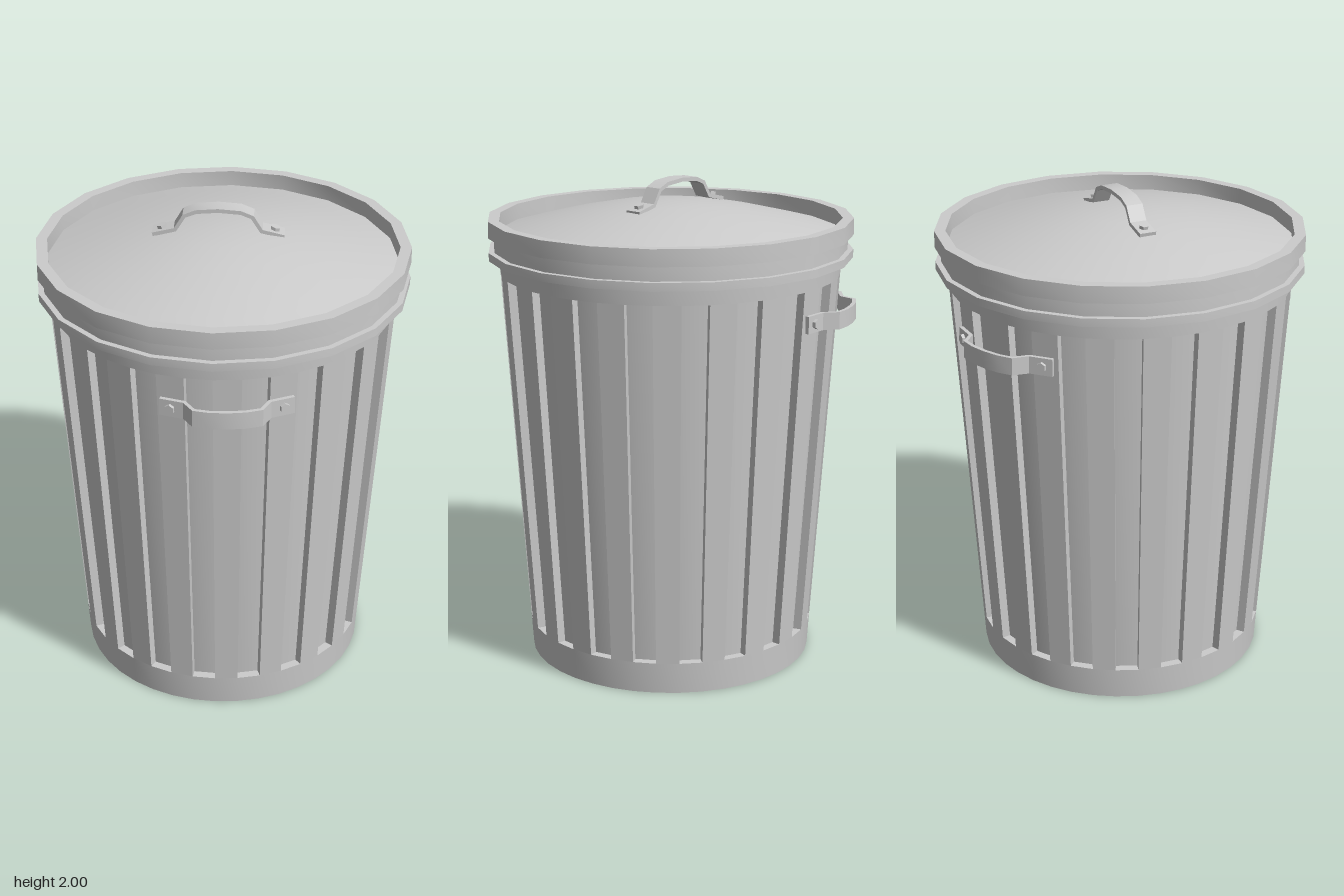
import * as THREE from 'three';
import { toCreasedNormals } from 'three/addons/utils/BufferGeometryUtils.js';

const material = new THREE.MeshStandardMaterial({ color: 0xcccccc });
const rad = THREE.MathUtils.degToRad;
const STAVES = 20, LOW = 0.13, HIGH = 1.62, DEPTH = 0.035;
const wallRadius = (y) => 0.59 + 0.0645 * y;

function mesh(name, geometry) {
  const m = new THREE.Mesh(geometry, material);
  m.name = name;
  return m;
}

function lathe(name, profile, segments) {
  const points = profile.map(([r, y]) => new THREE.Vector2(r, y));
  return mesh(name, toCreasedNormals(new THREE.LatheGeometry(points, segments), 0.5));
}

// Raised stave: a box bent onto the tapered wall, 9 degrees wide
function stave(index) {
  const geometry = new THREE.BoxGeometry(1, 1, 1);
  const p = geometry.attributes.position;
  for (let i = 0; i < p.count; i++) {
    const y = p.getY(i) > 0 ? HIGH : LOW;
    const r = wallRadius(y) - (p.getZ(i) > 0 ? 0 : DEPTH + 0.005);
    const angle = rad(index * 18 + (p.getX(i) > 0 ? 9 : 0));
    p.setXYZ(i, r * Math.sin(angle), y, r * Math.cos(angle));
  }
  geometry.computeVertexNormals();
  return mesh('stave', geometry);
}

// Bent metal strap with two hex bolts; half is its outer line from middle to end
function handle(name, half, width) {
  const thickness = 0.016;
  const left = half.slice(1).reverse().map(([x, y]) => [-x, y]);
  const line = [...left, ...half].map(([x, y]) => new THREE.Vector2(x, y));
  const inner = line.map((pt, i) => {
    const a = line[Math.max(i - 1, 0)], b = line[Math.min(i + 1, line.length - 1)];
    const d = b.clone().sub(a).normalize();
    return new THREE.Vector2(pt.x + d.y * thickness, pt.y - d.x * thickness);
  });
  const shape = new THREE.Shape([...line, ...inner.reverse()]);
  const geometry = new THREE.ExtrudeGeometry(shape, { depth: width, bevelEnabled: false });
  geometry.translate(0, 0, -width / 2);

  const group = new THREE.Group();
  group.name = name;
  group.add(mesh('strap', toCreasedNormals(geometry, 0.5)));

  // Bolts sit on the middle of each end plate
  const [a, b] = half.slice(-2);
  const slope = Math.atan2(b[1] - a[1], b[0] - a[0]);
  for (const side of [-1, 1]) {
    const bolt = mesh('bolt', new THREE.CylinderGeometry(0.02, 0.02, 0.026, 6).toNonIndexed());
    bolt.geometry.computeVertexNormals();
    bolt.position.set(side * (a[0] * 0.45 + b[0] * 0.55), a[1] * 0.45 + b[1] * 0.55, 0);
    bolt.rotation.z = side * slope;
    group.add(bolt);
  }
  return group;
}

export function createModel() {
  const model = new THREE.Group();

  // Body with hollow foot and recessed wall between two plain bands
  model.add(lathe('body', [
    [0, 0.14], [0.5, 0.14], [0.5, 0], [wallRadius(0), 0], [wallRadius(LOW), LOW],
    [wallRadius(LOW) - DEPTH, LOW], [wallRadius(HIGH) - DEPTH, HIGH],
    [wallRadius(HIGH), HIGH], [wallRadius(1.7), 1.7],
  ], 40));

  const staves = new THREE.Group();
  staves.name = 'staves';
  for (let i = 0; i < STAVES; i++) staves.add(stave(i));
  model.add(staves);

  // Rolled rim at the top of the body
  model.add(lathe('bodyRim', [
    [0.67, 1.685], [0.745, 1.685], [0.745, 1.718], [0.7, 1.718],
  ], 20));

  // Domed lid inside a raised collar
  model.add(lathe('lid', [
    [0.722, 1.71], [0.722, 1.777], [0.745, 1.777], [0.745, 1.845], [0.7, 1.845],
    [0.7, 1.78], [0.58, 1.812], [0.46, 1.842], [0.3, 1.876], [0.15, 1.898], [0, 1.905],
  ], 20));

  // Lid handle
  const lidHandle = handle('lidHandle',
    [[0, 2], [0.09, 1.993], [0.14, 1.972], [0.175, 1.914], [0.262, 1.893]], 0.07);
  lidHandle.position.set(-0.013, 0, -0.02);
  lidHandle.rotation.y = rad(-17.5);
  model.add(lidHandle);

  // Carrying handles on the front and back of the wall
  for (const [name, angle] of [['frontHandle', -13.5], ['backHandle', 184.4]]) {
    const side = handle(name,
      [[0, 0.772], [0.07, 0.767], [0.132, 0.75], [0.165, 0.692], [0.255, 0.658]], 0.07);
    side.rotation.set(Math.PI / 2, rad(angle), 0, 'YXZ');
    side.position.y = 1.489;
    model.add(side);
  }

  return model;
}
